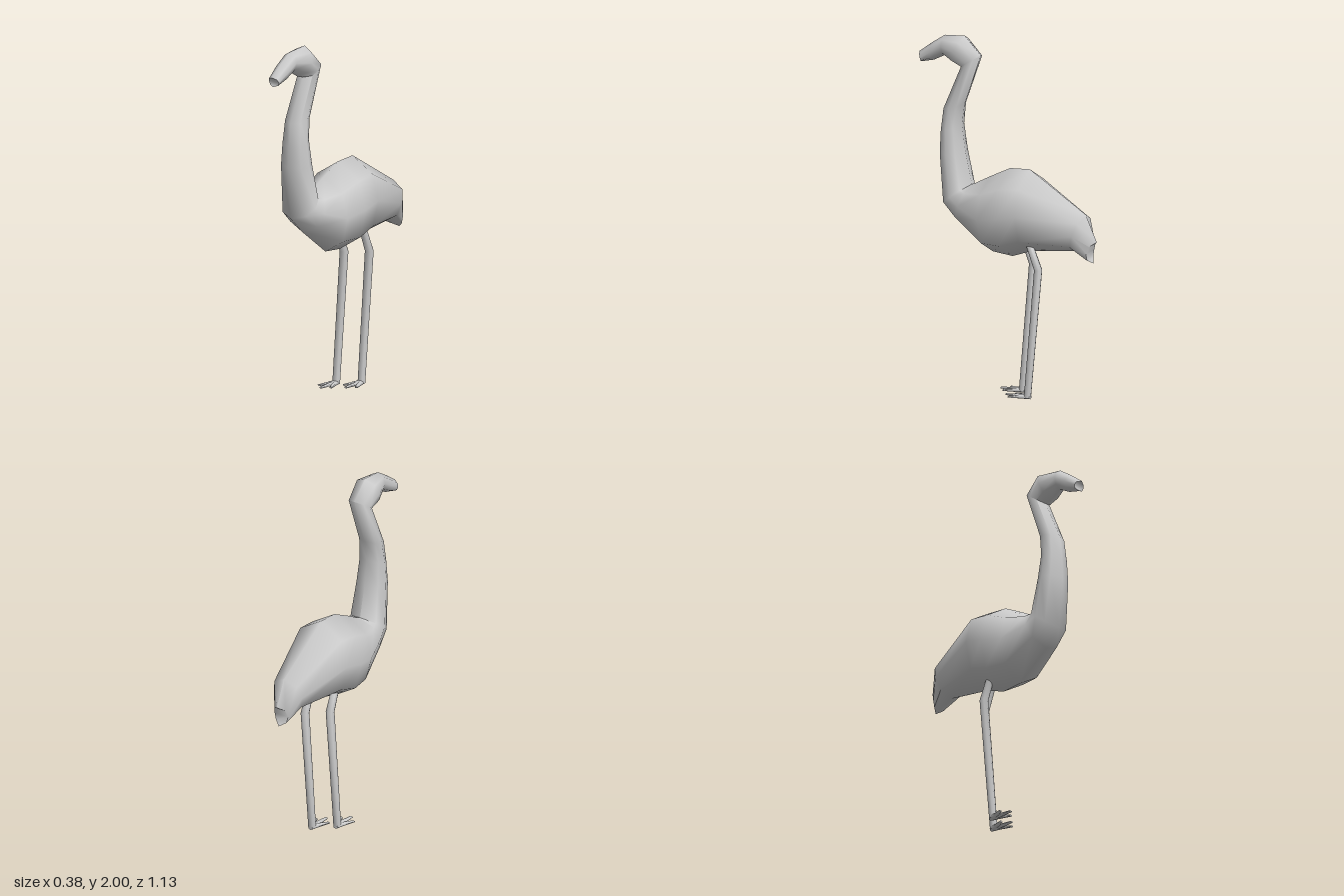
import * as THREE from 'three';
import { toCreasedNormals } from 'three/addons/utils/BufferGeometryUtils.js';

const material = new THREE.MeshStandardMaterial({ color: 0xcccccc });

// Eight-sided cross-section: [sideways, toward the back/top edge]
const OCTAGON = [[0, 1], [0.78, 0.64], [1, 0], [0.78, -0.64], [0, -1], [-0.78, -0.64], [-1, 0], [-0.78, 0.64]];

// Skin over rings given as [zUnder, yUnder, zOver, yOver, halfWidth, centreX, sweep of the sides in z]
function loft(name, rings) {
  const n = OCTAGON.length, pos = [], index = [];
  for (const [z0, y0, z1, y1, w, cx = 0, sweep = 0] of rings) {
    for (const [s, t] of OCTAGON) {
      pos.push(
        cx + s * w,
        (y0 + y1) / 2 + t * (y1 - y0) / 2,
        (z0 + z1) / 2 + t * (z1 - z0) / 2 + sweep * Math.abs(s),
      );
    }
  }
  for (let r = 0; r < rings.length - 1; r++) {
    for (let i = 0; i < n; i++) {
      const a = r * n + i, b = r * n + (i + 1) % n;
      index.push(a, b, a + n, b, b + n, a + n);
    }
  }
  // End caps, each a strip across the ring from side to side
  const last = (rings.length - 1) * n;
  for (const [a, b, c] of [[0, 1, 7], [1, 2, 7], [2, 6, 7], [2, 3, 6], [3, 5, 6], [3, 4, 5]]) {
    index.push(a, c, b, last + a, last + b, last + c);
  }
  const geometry = new THREE.BufferGeometry();
  geometry.setAttribute('position', new THREE.Float32BufferAttribute(pos, 3));
  geometry.setIndex(index);
  const mesh = new THREE.Mesh(toCreasedNormals(geometry, 1.2), material);
  mesh.name = name;
  return mesh;
}

// Leg with bent knee and three splayed toes
function makeLeg(name, x, dz) {
  const leg = new THREE.Group();
  leg.name = name;
  const ring = (z, y, r) => [z + r, y, z - r, y, r, x];
  leg.add(loft('shank', [
    ring(-0.073, 0.885, 0.021),
    ring(-0.13, 0.745, 0.024),
    ring(-0.062, 0.008, 0.021),
  ]));
  for (const [side, reach] of [[-1, 0.095], [0, 0.133], [1, 0.095]]) {
    const tipX = x + side * 0.042, tipZ = -0.06 + reach;
    leg.add(loft('toe', [
      [tipZ, 0.004, tipZ, 0.014, 0.01, tipX],
      [-0.045, 0, -0.045, 0.026, 0.016, x + side * 0.008],
      [-0.08, 0, -0.08, 0.022, 0.014, x],
    ]));
  }
  leg.position.z = dz;
  return leg;
}

export function createModel() {
  const model = new THREE.Group();
  model.name = 'wadingBird';

  // Bill, head, neck, body and notched tail as one continuous skin
  model.add(loft('body', [
    [0.547, 1.817, 0.562, 1.873, 0.036, 0, -0.015], // bill tip
    [0.47, 1.836, 0.48, 1.935, 0.044],
    [0.40, 1.873, 0.40, 1.988, 0.047],              // bill root
    [0.335, 1.835, 0.275, 2.0, 0.078],              // crown
    [0.29, 1.822, 0.172, 1.9, 0.066],               // nape
    [0.40, 1.58, 0.275, 1.61, 0.07],
    [0.412, 1.45, 0.292, 1.49, 0.08],
    [0.418, 1.333, 0.27, 1.34, 0.092],
    [0.392, 1.037, 0.228, 1.16, 0.108],             // neck base
    [0.295, 0.945, 0.205, 1.17, 0.125],             // breast
    [0.095, 0.795, 0.11, 1.222, 0.166],
    [-0.03, 0.785, -0.015, 1.285, 0.19],
    [-0.15, 0.83, -0.14, 1.295, 0.18],
    [-0.42, 0.868, -0.495, 1.085, 0.095],           // rump
    [-0.545, 0.813, -0.565, 0.937, 0.045, 0, 0.034], // tail
  ]));

  // The left leg stands a little further back
  model.add(makeLeg('leftLeg', 0.052, -0.092));
  model.add(makeLeg('rightLeg', -0.052, 0));
  return model;
}
